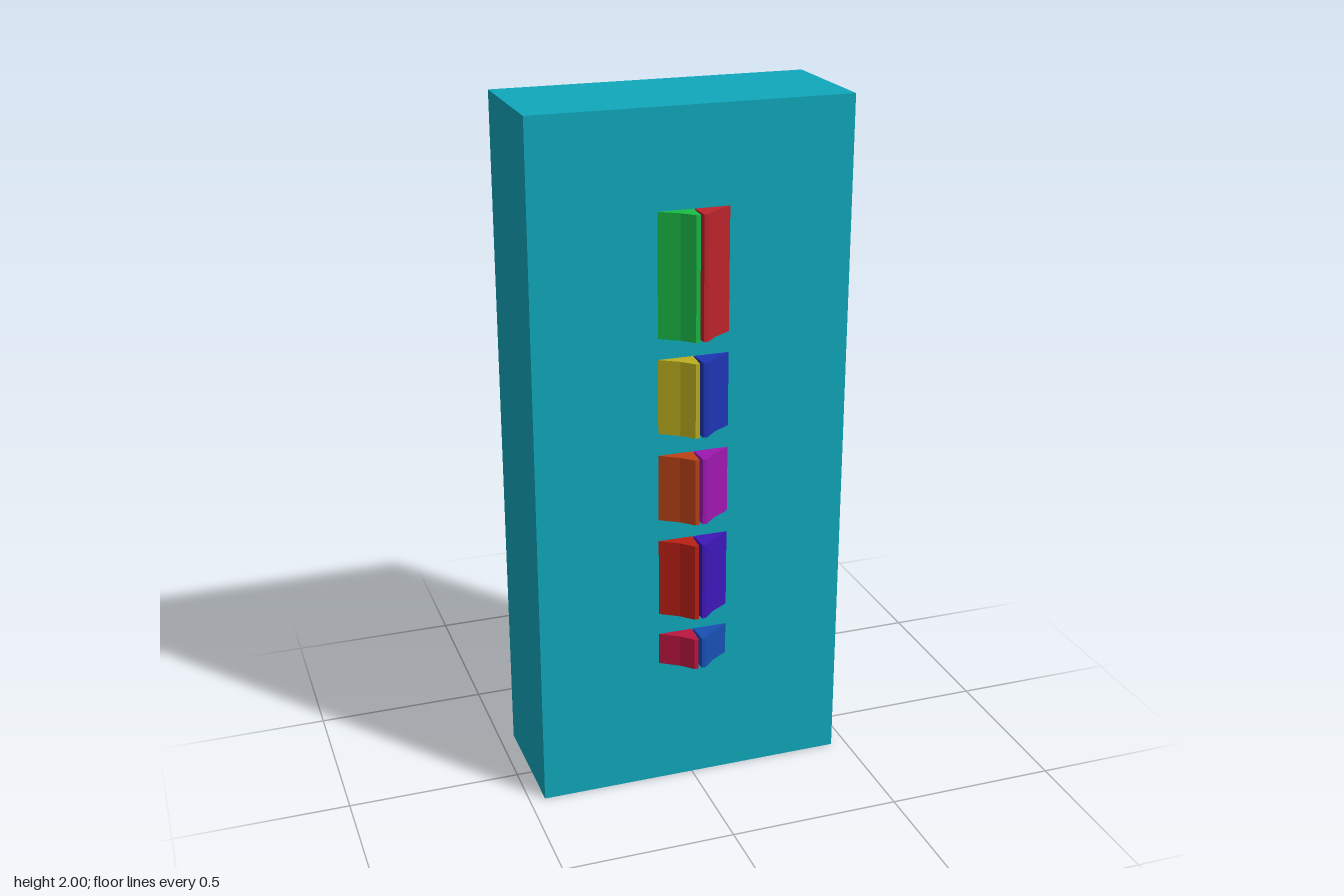
import * as THREE from 'three';

const DEPTH_BACK = -0.22, DEPTH_FRONT = 0.15;

function material(color) {
  return new THREE.MeshStandardMaterial({ color, flatShading: true });
}

// Half of a ridge seen from above: side is +1 (left) or -1 (right)
function ridgeHalf(side, bottom, top, color) {
  const profile = [[0.002, 0.15], [0.005, 0.217], [0.017, 0.217], [0.05, 0.184], [0.102, 0.15]];
  const shape = new THREE.Shape(profile.map(([x, z]) => new THREE.Vector2(side * x, -z)));
  const geometry = new THREE.ExtrudeGeometry(shape, { depth: top - bottom, bevelEnabled: false });
  geometry.rotateX(-Math.PI / 2);
  geometry.translate(0, bottom, 0);
  const mesh = new THREE.Mesh(geometry, material(color));
  mesh.name = side > 0 ? 'leftRidgeHalf' : 'rightRidgeHalf';
  return mesh;
}

export function createModel() {
  const model = new THREE.Group();
  model.name = 'panelWithRidges';

  // Main slab
  const slab = new THREE.Mesh(
    new THREE.BoxGeometry(0.91, 2, DEPTH_FRONT - DEPTH_BACK), material(0x10a8bc));
  slab.position.set(0, 1, (DEPTH_FRONT + DEPTH_BACK) / 2);
  slab.name = 'slab';
  model.add(slab);

  // Column of split ridges: bottom, top, right colour, left colour
  const ridges = [
    [1.375, 1.725, 0x1abc46, 0xbc242c],
    [1.10, 1.315, 0xbcb020, 0x1e34b4],
    [0.84, 1.035, 0xbc4218, 0x9e18b0],
    [0.545, 0.775, 0xbc2016, 0x3e18b8],
    [0.385, 0.48, 0xbc163e, 0x1850b4],
  ];
  ridges.forEach(([bottom, top, rightColor, leftColor], i) => {
    const ridge = new THREE.Group();
    ridge.name = `ridge${i + 1}`;
    ridge.add(ridgeHalf(-1, bottom, top, rightColor), ridgeHalf(1, bottom, top, leftColor));
    model.add(ridge);
  });

  return model;
}
